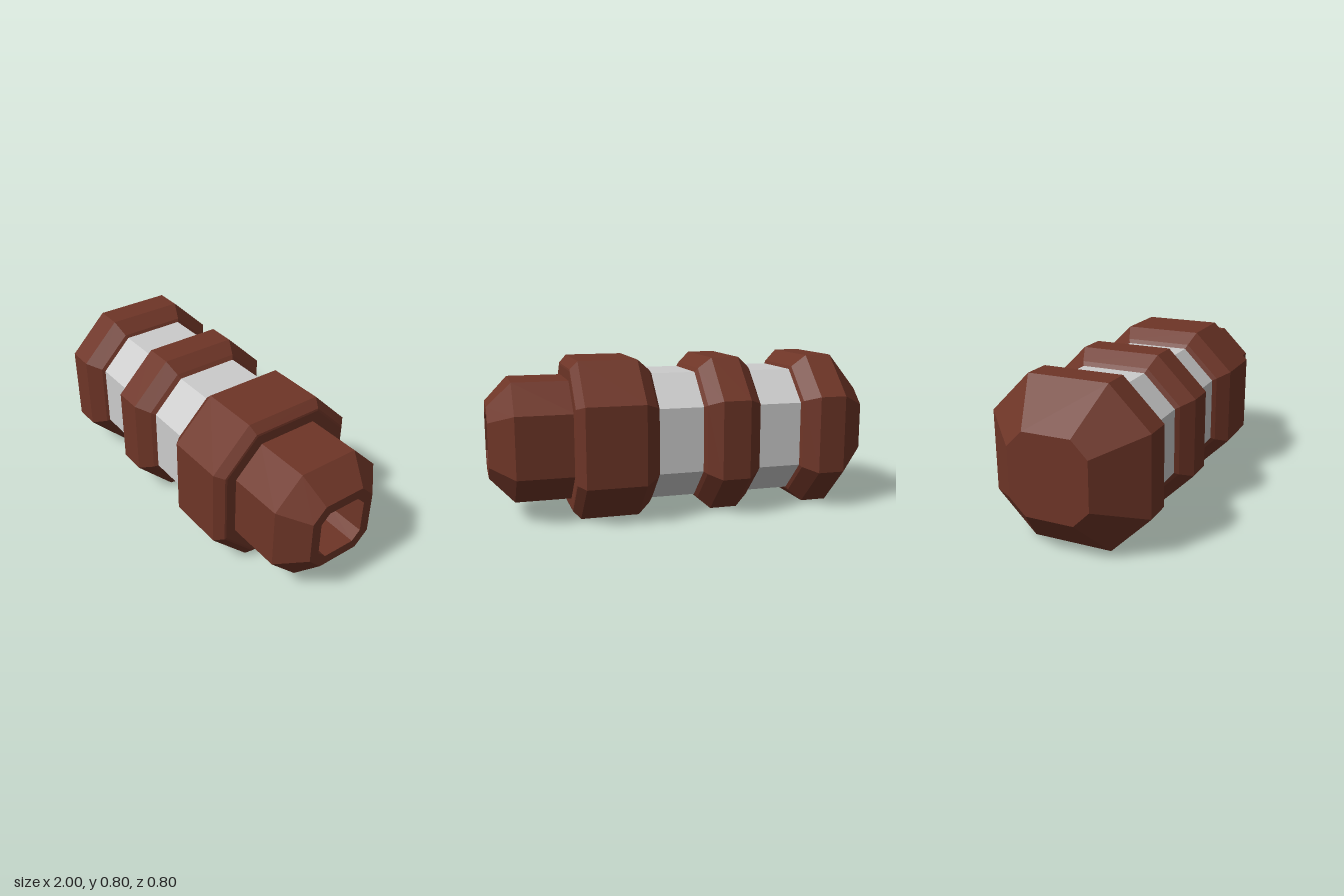
import * as THREE from 'three';

// Octagonal section: h = half width, c = half length of the upright and level sides.
function section([x, h, c]) {
  return [[h, -c], [h, c], [c, h], [-c, h], [-h, c], [-h, -c], [-c, -h], [c, -h]]
    .map(([y, z]) => [x, y, z]);
}

// Skins a run of octagonal sections along x; a section of size 0 closes an end.
function loft(name, material, profile) {
  const rings = profile.map(section);
  const positions = [];
  for (let i = 0; i < rings.length - 1; i++) {
    for (let j = 0; j < 8; j++) {
      const k = (j + 1) % 8;
      const a = rings[i][j], b = rings[i][k], c = rings[i + 1][k], d = rings[i + 1][j];
      if (profile[i][1] > 0) positions.push(...a, ...b, ...c);
      if (profile[i + 1][1] > 0) positions.push(...a, ...c, ...d);
      else if (profile[i][1] > 0) continue;
    }
  }
  const geometry = new THREE.BufferGeometry();
  geometry.setAttribute('position', new THREE.Float32BufferAttribute(positions, 3));
  geometry.computeVertexNormals();
  const mesh = new THREE.Mesh(geometry, material);
  mesh.name = name;
  return mesh;
}

export function createModel() {
  const brown = new THREE.MeshStandardMaterial({ color: 0x6e3527, flatShading: true });
  const grey = new THREE.MeshStandardMaterial({ color: 0xcccccc, flatShading: true });
  const model = new THREE.Group();
  model.name = 'segmentedCapsule';

  // Tapered closed end
  model.add(loft('taperedCap', brown, [
    [-1, 0, 0], [-1, 0.2, 0.12], [-0.8, 0.4, 0.2], [-0.66, 0.4, 0.2],
    [-0.59, 0.34, 0.175], [-0.58, 0.32, 0.165], [-0.58, 0, 0],
  ]));

  // Middle ring
  model.add(loft('middleRing', brown, [
    [-0.355, 0, 0], [-0.355, 0.325, 0.165], [-0.34, 0.345, 0.175], [-0.275, 0.4, 0.2],
    [-0.13, 0.4, 0.2], [-0.065, 0.345, 0.175], [-0.05, 0.325, 0.165], [-0.05, 0, 0],
  ]));

  // Wide collar
  model.add(loft('collar', brown, [
    [0.18, 0, 0], [0.18, 0.325, 0.165], [0.195, 0.345, 0.175], [0.26, 0.4, 0.2],
    [0.56, 0.4, 0.2], [0.598, 0.36, 0.185], [0.6, 0.35, 0.18], [0.6, 0, 0],
  ]));

  // Nozzle with a blind bore
  model.add(loft('nozzle', brown, [
    [0.59, 0.3, 0.155], [0.88, 0.3, 0.155], [1, 0.18, 0.11],
    [1, 0.13, 0.085], [0.8, 0.13, 0.085], [0.8, 0, 0],
  ]));

  // Pale bands between the brown parts
  for (const [name, x0, x1] of [['outerBand', -0.58, -0.355], ['innerBand', -0.05, 0.18]]) {
    model.add(loft(name, grey, [[x0, 0.325, 0.165], [x1, 0.325, 0.165]]));
  }

  // Raise the axis so the widest rings rest on the ground
  for (const part of model.children) part.position.y = 0.4;
  return model;
}
